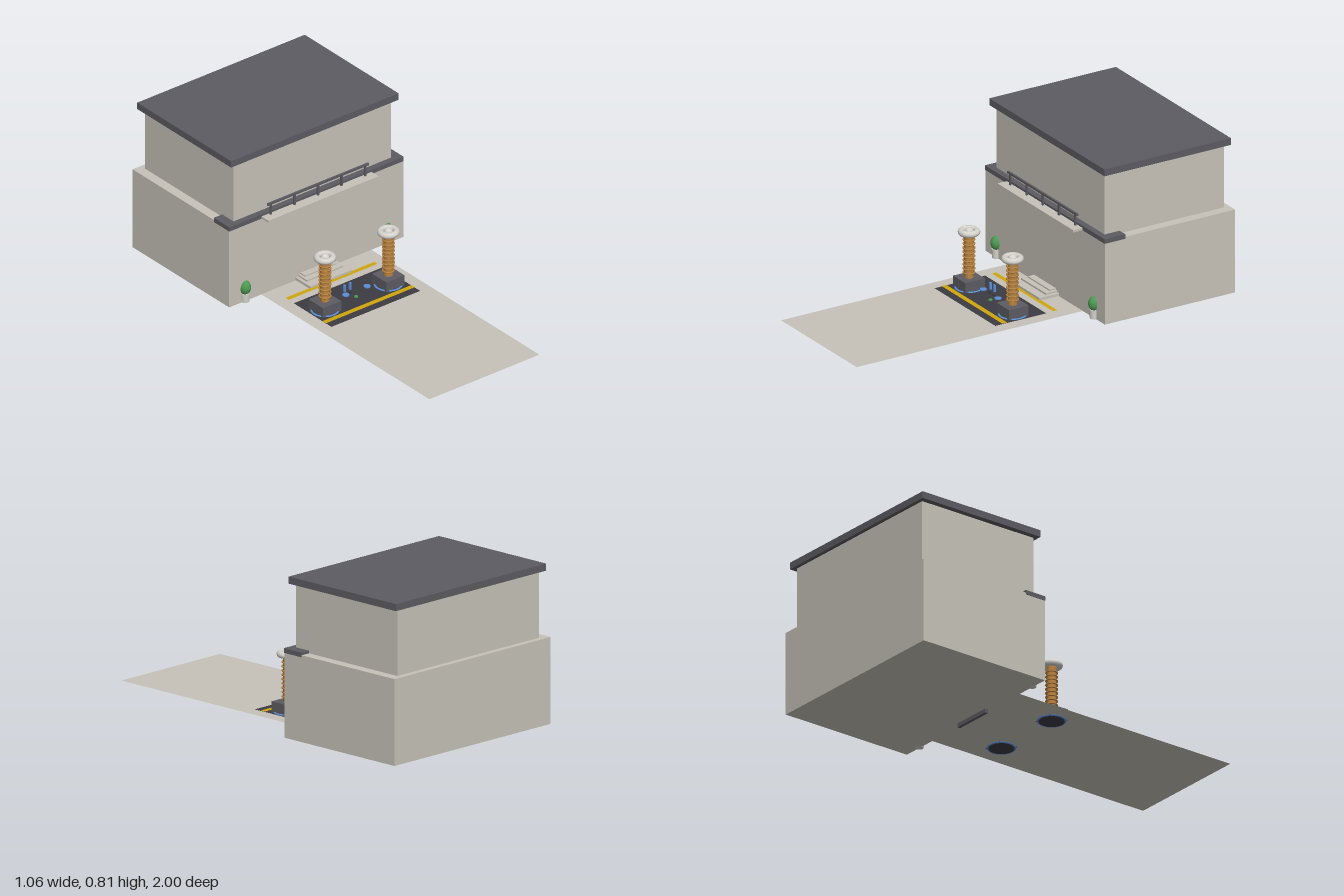
import * as THREE from 'three';

export function createModel() {
  const root = new THREE.Group();
  root.name = 'coilBuilding';

  const mat = (name, color, side = THREE.FrontSide) => {
    const m = new THREE.MeshStandardMaterial({ color, side });
    m.name = name;
    return m;
  };
  const wall = mat('concrete', 0xc6c2b8, THREE.DoubleSide);
  const slate = mat('slate', 0x5c5b62);
  const asphalt = mat('asphalt', 0x3d3b43);
  const yellow = mat('yellowPaint', 0xcfa60c);
  const copper = mat('copper', 0xb98340);
  const blue = mat('blueGlow', 0x5b8fd6);
  const green = mat('foliage', 0x4b9a50);
  const white = mat('paleMetal', 0xd6d3cd);

  const add = (parent, name, geo, material, x = 0, y = 0, z = 0) => {
    const m = new THREE.Mesh(geo, material);
    m.name = name;
    m.position.set(x, y, z);
    parent.add(m);
    return m;
  };
  // Box given by its lower and upper limits on each axis
  const box = (parent, name, material, x0, x1, y0, y1, z0, z1) =>
    add(parent, name, new THREE.BoxGeometry(x1 - x0, y1 - y0, z1 - z0), material,
      (x0 + x1) / 2, (y0 + y1) / 2, (z0 + z1) / 2);

  // Building: two storeys, dark ledge and overhanging roof
  const building = new THREE.Group();
  building.name = 'building';
  root.add(building);
  box(building, 'lowerStorey', wall, -0.53, 0.53, 0.02, 0.447, -1, -0.27);
  box(building, 'upperStorey', wall, -0.48, 0.48, 0.447, 0.775, -0.97, -0.3);
  box(building, 'roof', slate, -0.51, 0.51, 0.775, 0.81, -0.99, -0.28);
  box(building, 'ledge', slate, -0.531, 0.531, 0.437, 0.46, -0.385, -0.268);
  box(building, 'doorSill', slate, -0.107, 0.107, 0, 0.04, -0.298, -0.282);

  // Balcony with railing
  const balcony = new THREE.Group();
  balcony.name = 'balcony';
  root.add(balcony);
  box(balcony, 'balconySlab', wall, -0.335, 0.335, 0.437, 0.449, -0.28, -0.215);
  box(balcony, 'topRail', slate, -0.308, 0.308, 0.503, 0.514, -0.262, -0.252);
  for (let i = -2; i <= 2; i++) {
    const x = i * 0.1435;
    box(balcony, 'railPost', slate, x - 0.005, x + 0.005, 0.449, 0.504, -0.261, -0.253);
  }

  // Entrance steps
  [[0.125, 0.022, 0.036, -0.16], [0.109, 0.036, 0.045, -0.205], [0.096, 0.045, 0.052, -0.235]]
    .forEach(([w, y0, y1, z]) => box(root, 'step', wall, -w, w, y0, y1, -0.275, z));

  // Forecourt sheet, dark pad and yellow stripes
  const sheet = (name, material, w, z0, z1, y) => {
    const g = new THREE.PlaneGeometry(w, z1 - z0).rotateX(-Math.PI / 2);
    return add(root, name, g, material, 0, y, (z0 + z1) / 2);
  };
  sheet('forecourt', wall, 0.67, -0.27, 1, 0.0205);
  sheet('pad', asphalt, 0.54, -0.105, 0.18, 0.0225);
  sheet('frontStripe', yellow, 0.54, 0.113, 0.14, 0.0245);
  sheet('backStripe', yellow, 0.54, -0.167, -0.143, 0.0245);

  // Coil towers
  const coilTower = (x) => {
    const t = new THREE.Group();
    t.name = 'coilTower';
    t.position.set(x, 0, 0.035);
    root.add(t);
    add(t, 'foot', new THREE.CylinderGeometry(0.062, 0.062, 0.008, 32), asphalt, 0, 0.02, 0);
    const ring = (name, r, tube, material, y) =>
      add(t, name, new THREE.TorusGeometry(r, tube, 8, 36).rotateX(Math.PI / 2), material, 0, y, 0);
    ring('groundRing', 0.065, 0.006, blue, 0.021);
    box(t, 'plinth', slate, -0.055, 0.055, 0.02, 0.075, -0.055, 0.055);
    add(t, 'core', new THREE.CylinderGeometry(0.0225, 0.0225, 0.225, 24), copper, 0, 0.1875, 0);
    for (let i = 0; i < 9; i++) ring('winding', 0.027, 0.004, copper, 0.1 + i * 0.0212);
    add(t, 'crownRing', new THREE.TorusGeometry(0.038, 0.016, 12, 36).rotateX(Math.PI / 2),
      white, 0, 0.309, 0);
    add(t, 'crownBall', new THREE.SphereGeometry(0.022, 20, 14), white, 0, 0.308, 0);
  };
  coilTower(-0.193);
  coilTower(0.193);

  // Small hovering items between the towers
  for (const x of [-0.066, 0.064])
    add(root, 'hoverDisc', new THREE.CylinderGeometry(0.017, 0.017, 0.005, 20), blue, x, 0.058, 0.035);
  for (const x of [-0.05, -0.015]) {
    box(root, 'bluePost', blue, x - 0.005, x + 0.005, 0.056, 0.092, 0, 0.01);
    box(root, 'postFoot', asphalt, x - 0.006, x + 0.006, 0.036, 0.044, 0, 0.012);
  }
  add(root, 'greenLamp', new THREE.CylinderGeometry(0.01, 0.01, 0.006, 16), green, -0.003, 0.025, 0.035);

  // Potted shrubs at the front corners
  for (const s of [-1, 1]) {
    const p = new THREE.Group();
    p.name = 'pottedShrub';
    p.position.set(s * 0.433, 0, -0.27);
    root.add(p);
    add(p, 'pot', new THREE.CylinderGeometry(0.022, 0.02, 0.046, 20), white, 0, 0.043, 0);
    const shrub = add(p, 'shrub', new THREE.SphereGeometry(0.028, 20, 14), green, 0, 0.095, 0);
    shrub.scale.y = 1.28;
  }
  return root;
}
